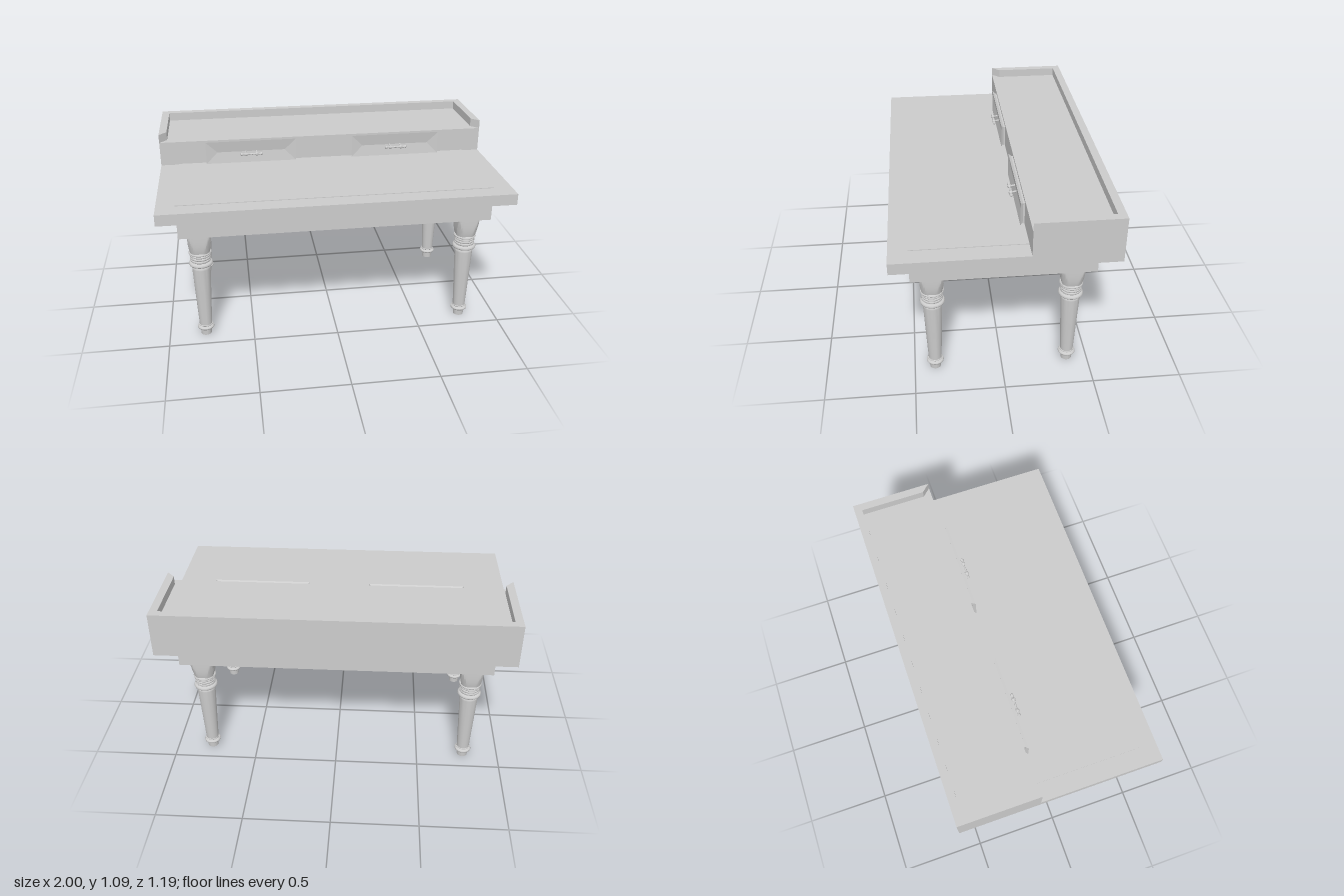
import * as THREE from 'three';
import { toCreasedNormals } from 'three/addons/utils/BufferGeometryUtils.js';

const material = new THREE.MeshStandardMaterial({ color: 0xcccccc });

function add(parent, name, geometry) {
  const mesh = new THREE.Mesh(geometry, material);
  mesh.name = name;
  parent.add(mesh);
  return mesh;
}

// Box given by its minimum and maximum corners
function box(parent, name, [x0, y0, z0], [x1, y1, z1]) {
  const mesh = add(parent, name, new THREE.BoxGeometry(x1 - x0, y1 - y0, z1 - z0));
  mesh.position.set((x0 + x1) / 2, (y0 + y1) / 2, (z0 + z1) / 2);
  return mesh;
}

function lathe(points, segments) {
  const profile = points.map(([r, y]) => new THREE.Vector2(r, y));
  return toCreasedNormals(new THREE.LatheGeometry(profile, segments), 0.6);
}

// Half-round bead for a lathe profile, running upward
function bead(neck, radius, y, halfHeight) {
  const points = [];
  for (let i = 0; i <= 8; i++) {
    const a = -Math.PI / 2 + (Math.PI * i) / 8;
    points.push([neck + (radius - neck) * Math.cos(a), y + halfHeight * Math.sin(a)]);
  }
  return points;
}

// Square block whose corners are pared away by a cone towards its foot
function legBlock() {
  const height = 0.135;
  const geometry = new THREE.CylinderGeometry(1, 1, height, 48, 10);
  const p = geometry.attributes.position;
  for (let i = 0; i < p.count; i++) {
    const x = p.getX(i), z = p.getZ(i);
    if (Math.hypot(x, z) < 0.5) continue;
    const t = p.getY(i) / height + 0.5;
    const half = 0.065 - 0.009 * Math.pow(1 - t, 4);
    const a = Math.atan2(z, x);
    const square = half / Math.max(Math.abs(Math.cos(a)), Math.abs(Math.sin(a)));
    const r = Math.min(square, 0.062 + 0.031 * t);
    p.setXYZ(i, r * Math.cos(a), p.getY(i), r * Math.sin(a));
  }
  return toCreasedNormals(geometry, 0.35);
}

// Flared drawer front, its face dished to a short ridge
function drawerFront(w, h, depth) {
  const corners = (x, y, z) => [-x, -y, z, x, -y, z, x, y, z, -x, y, z];
  const vertices = [
    ...corners(w - 0.015, h - 0.01, 0),
    ...corners(w, h, depth),
    -(w - h), 0, depth - 0.01, w - h, 0, depth - 0.01,
  ];
  const index = [0, 3, 2, 0, 2, 1, 4, 5, 9, 4, 9, 8, 6, 7, 8, 6, 8, 9, 5, 6, 9, 7, 4, 8];
  for (let i = 0; i < 4; i++) {
    const j = (i + 1) % 4;
    index.push(i, j, 4 + j, i, 4 + j, 4 + i);
  }
  const geometry = new THREE.BufferGeometry();
  geometry.setAttribute('position', new THREE.Float32BufferAttribute(vertices, 3));
  geometry.setIndex(index);
  const flat = geometry.toNonIndexed();
  flat.computeVertexNormals();
  return flat;
}

// Flat polygon in x/z, raised from y by the given height
function slab(outline, y, height, hole) {
  const toPoints = (list) => list.map(([x, z]) => new THREE.Vector2(x, -z));
  const shape = new THREE.Shape(toPoints(outline));
  if (hole) shape.holes.push(new THREE.Path(toPoints(hole)));
  return new THREE.ExtrudeGeometry(shape, { depth: height, bevelEnabled: false })
    .rotateX(-Math.PI / 2).translate(0, y, 0);
}

export function createModel() {
  const desk = new THREE.Group();
  desk.name = 'writingDesk';

  // Table
  box(desk, 'tabletop', [-1, 0.83, -0.597], [1, 0.895, 0.597]);
  box(desk, 'apron', [-0.895, 0.695, -0.495], [0.895, 0.83, 0.495]);

  // Slim moulding around the writing surface
  const rect = (x, z0, z1) => [[-x, z0], [x, z0], [x, z1], [-x, z1]];
  add(desk, 'writingSurfaceFrame',
    slab(rect(0.895, -0.125, 0.495), 0.895, 0.004, rect(0.86, -0.09, 0.46)));

  // Raised rear case with a low gallery, mitred at its front ends
  box(desk, 'rearCase', [-1, 0.895, -0.597], [1, 1.04, -0.125]);
  add(desk, 'galleryRail', slab([
    [-1, -0.125], [-1, -0.597], [1, -0.597], [1, -0.125],
    [0.955, -0.172], [0.955, -0.552], [-0.955, -0.552], [-0.955, -0.172],
  ], 1.04, 0.05));

  // Drawers with turned pulls
  const frontGeometry = drawerFront(0.275, 0.069, 0.015);
  const halfPull = [[0.004, 0.012], [0.004, 0.018], [0.011, 0.03], [0.012, 0.036], [0.006, 0.044],
    [0.005, 0.05], [0.009, 0.059], [0.009, 0.065], [0, 0.071]];
  const pullProfile = [
    ...halfPull.map(([r, y]) => [r, -y]).reverse(), [0.007, 0], ...halfPull,
  ];
  const pullGeometry = lathe(pullProfile, 12).rotateZ(Math.PI / 2);
  for (const side of [-1, 1]) {
    const drawer = new THREE.Group();
    drawer.name = side > 0 ? 'leftDrawer' : 'rightDrawer';
    drawer.position.set(0.45 * side, 0.967, -0.125);
    desk.add(drawer);
    box(drawer, 'drawerBacking', [-0.258, -0.067, 0], [0.258, 0.058, 0.01]);
    add(drawer, 'drawerFront', frontGeometry).position.z = 0.01;
    add(drawer, 'pullBar', pullGeometry).position.set(0, -0.009, 0.047);
    for (const x of [-0.033, 0.033]) {
      const post = add(drawer, 'pullPost', new THREE.CylinderGeometry(0.004, 0.006, 0.035, 10));
      post.rotation.x = Math.PI / 2 + 0.15;
      post.position.set(x, -0.005, 0.03);
    }
  }

  // Turned legs, profile from the foot upward
  const legProfile = [
    [0, 0], [0.031, 0], [0.033, 0.038],
    ...bead(0.034, 0.049, 0.049, 0.011),
    [0.037, 0.061], [0.04, 0.064], [0.04, 0.068], [0.037, 0.07],
    [0.046, 0.28], [0.053, 0.45], [0.053, 0.457], [0.048, 0.465],
    ...bead(0.052, 0.069, 0.483, 0.013),
    ...bead(0.054, 0.06, 0.506, 0.008),
    ...bead(0.054, 0.06, 0.522, 0.008),
    ...bead(0.054, 0.061, 0.537, 0.007),
    ...bead(0.056, 0.066, 0.553, 0.008),
    [0, 0.562],
  ];
  const legGeometry = lathe(legProfile, 32);
  const blockGeometry = legBlock();
  for (const x of [-1, 1]) {
    for (const z of [-1, 1]) {
      const leg = new THREE.Group();
      leg.name = `${z > 0 ? 'front' : 'back'}${x > 0 ? 'Left' : 'Right'}Leg`;
      leg.position.set(0.785 * x, 0, 0.382 * z);
      desk.add(leg);
      add(leg, 'turnedLeg', legGeometry);
      add(leg, 'legBlock', blockGeometry).position.y = 0.6275;
    }
  }
  return desk;
}
